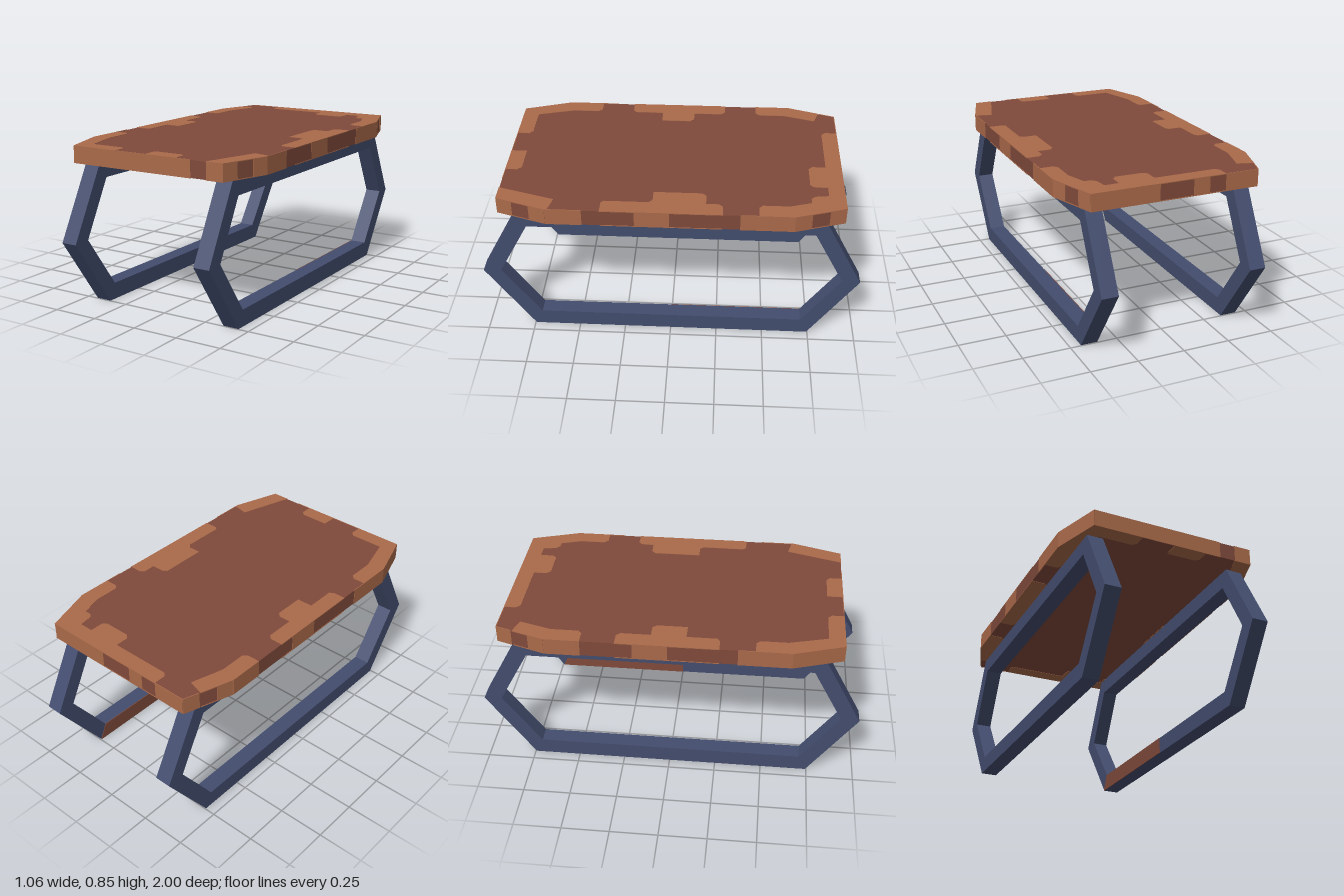
import * as THREE from 'three';

const blue = new THREE.MeshStandardMaterial({ color: 0x434d6e });
blue.name = 'blue metal';
const brown = new THREE.MeshStandardMaterial({ color: 0x804a3b });
brown.name = 'brown wood';
const tan = new THREE.MeshStandardMaterial({ color: 0xaa6a4a });
tan.name = 'worn wood';

const SLAB_LOW = 0.757, SLAB_HIGH = 0.843, SKIN = 0.002;

const toShape = (pts) => new THREE.Shape(pts.map(([a, b]) => new THREE.Vector2(a, b)));

function named(geometry, material, name) {
  const mesh = new THREE.Mesh(geometry, material);
  mesh.name = name;
  return mesh;
}

// Flat outline given as (x, z), raised from y0 to y1
function flatSlab(pts, y0, y1) {
  const geo = new THREE.ExtrudeGeometry(toShape(pts.map(([x, z]) => [x, -z])), { depth: y1 - y0, bevelEnabled: false });
  return geo.rotateX(-Math.PI / 2).translate(0, y0, 0);
}

// Side outline given as (z, y), spanning x0 to x1
function sidePlate(shape, x0, x1) {
  const geo = new THREE.ExtrudeGeometry(shape, { depth: x1 - x0, bevelEnabled: false });
  return geo.rotateY(Math.PI / 2).translate(x0, 0, 0);
}

// Worn patch on the rim between two (x, z) points
function rimPatch([ax, az], [bx, bz]) {
  const dx = bx - ax, dz = bz - az;
  const geo = new THREE.BoxGeometry(Math.hypot(dx, dz), SLAB_HIGH - SLAB_LOW + 2 * SKIN, 2 * SKIN);
  geo.rotateY(-Math.atan2(dz, dx)).translate((ax + bx) / 2, (SLAB_LOW + SLAB_HIGH) / 2, (az + bz) / 2);
  return named(geo, tan, 'rimPatch');
}

// Half width of the table top at a given z
const halfWidth = (z) => 0.528 - 0.085 * Math.max(0, Math.abs(z) - 0.625) / 0.26;

const outline = [
  [0.528, -0.625], [0.528, 0.625], [0.443, 0.883], [-0.443, 0.883],
  [-0.528, 0.625], [-0.528, -0.625], [-0.443, -0.883], [0.443, -0.883],
];

// Worn patches around the edge of the table top, as (x, z)
const patches = [
  [[-0.265, -0.885], [0.445, -0.885], [0.53, -0.625], [0.53, -0.445], [0.46, -0.445], [0.44, -0.465],
    [0.44, -0.6], [0.405, -0.71], [0.37, -0.71], [0.35, -0.73], [0.34, -0.8], [0.265, -0.8], [0.265, -0.73],
    [0.245, -0.71], [0.1, -0.71], [0.08, -0.73], [0.08, -0.8], [-0.245, -0.8], [-0.265, -0.82]],
  [[0.53, -0.265], [0.46, -0.265], [0.44, -0.245], [0.44, -0.18], [0.37, -0.18], [0.35, -0.16], [0.35, 0.09],
    [0.42, 0.09], [0.44, 0.11], [0.44, 0.335], [0.455, 0.35], [0.53, 0.35]],
  [[0.53, 0.61], [0.53, 0.625], [0.445, 0.885], [0.35, 0.885], [0.44, 0.59]],
  [[0, 0.885], [0, 0.8], [0.16, 0.8], [0.18, 0.82], [0.18, 0.885]],
  [[-0.18, 0.885], [-0.18, 0.82], [-0.2, 0.8], [-0.385, 0.8], [-0.44, 0.6], [-0.44, 0.46], [-0.46, 0.44],
    [-0.53, 0.44], [-0.53, 0.625], [-0.445, 0.885]],
  [[-0.53, -0.265], [-0.46, -0.265], [-0.44, -0.245], [-0.44, -0.09], [-0.375, -0.09], [-0.355, -0.07],
    [-0.355, 0.09], [-0.44, 0.09], [-0.44, 0.245], [-0.46, 0.26], [-0.53, 0.26]],
  [[-0.53, -0.44], [-0.46, -0.44], [-0.44, -0.46], [-0.44, -0.6], [-0.39, -0.77], [-0.475, -0.795], [-0.53, -0.625]],
];

export function createModel() {
  const model = new THREE.Group();
  model.name = 'table';

  // Table top with patches on both faces
  const top = new THREE.Group();
  top.name = 'tableTop';
  top.add(named(flatSlab(outline, SLAB_LOW, SLAB_HIGH), brown, 'slab'));
  for (const pts of patches) {
    for (const y of [SLAB_LOW, SLAB_HIGH]) {
      top.add(named(flatSlab(pts, y - SKIN, y + SKIN), tan, 'wornPatch'));
    }
  }

  // Patches along the long sides, split where the rim bends
  const rims = [
    [1, [[0.883, 0.8], [0.71, 0.625], [0.625, 0.44], [0.177, 0], [-0.353, -0.625], [-0.625, -0.71], [-0.8, -0.883]]],
    [-1, [[0.883, 0.625], [0.625, 0.353], [0, -0.177], [-0.44, -0.625], [-0.625, -0.71], [-0.8, -0.883]]],
  ];
  for (const [side, spans] of rims) {
    for (const [a, b] of spans) top.add(rimPatch([side * halfWidth(a), a], [side * halfWidth(b), b]));
  }

  // Patches along the front and back ends
  for (const [a, b] of [[-0.443, 0.265], [0.353, 0.443]]) top.add(rimPatch([a, 0.883], [b, 0.883]));
  for (const [a, b] of [[0.443, 0.09], [-0.09, -0.177], [-0.265, -0.443]]) top.add(rimPatch([a, -0.883], [b, -0.883]));
  model.add(top);

  // Two six-sided leg frames
  const hexagon = (bottom, mid, midY, high, y0, y1) => [
    [-bottom, y0], [bottom, y0], [mid, midY], [high, y1], [-high, y1], [-mid, midY],
  ];
  const frame = toShape(hexagon(0.745, 1, 0.365, 0.79, 0, 0.757));
  frame.holes.push(toShape(hexagon(0.705, 0.905, 0.37, 0.745, 0.088, 0.668)));
  model.add(named(sidePlate(frame, 0.355, 0.442), blue, 'leftLegFrame'));
  model.add(named(sidePlate(frame, -0.442, -0.355), blue, 'rightLegFrame'));

  // Brown strip on the inner face of one bottom rail, over its rear half
  const strip = toShape([[0, 0], [0.745, 0], [0.705, 0.088], [0, 0.088]]);
  model.add(named(sidePlate(strip, 0.352, 0.356), brown, 'railStrip'));

  return model;
}
